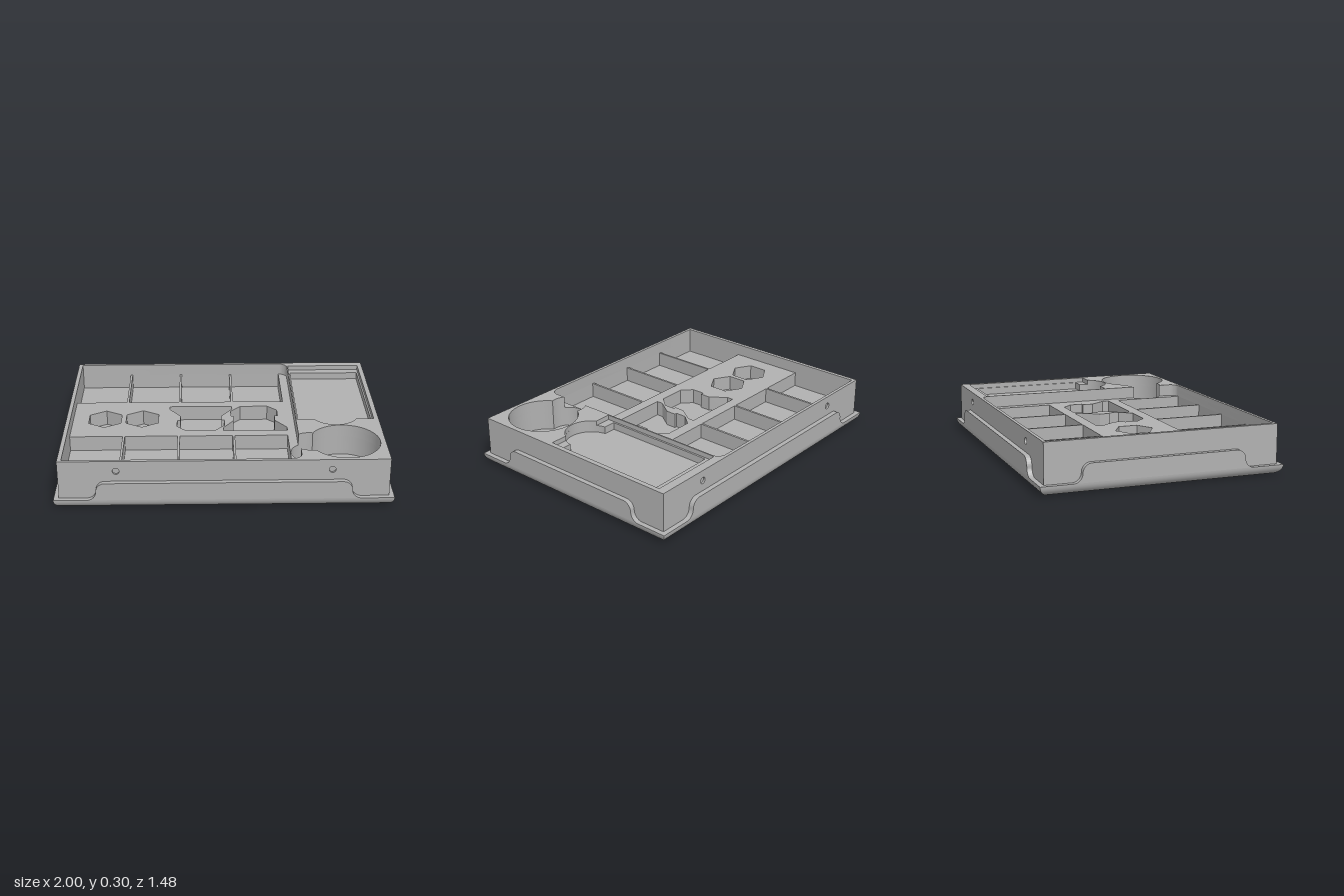
import * as THREE from 'three';
import { toCreasedNormals } from 'three/addons/utils/BufferGeometryUtils.js';

const rad = THREE.MathUtils.degToRad;

// Points along an arc in plan (x, z), angles in degrees
function arc(cx, cz, r, a0, a1, n = 32) {
  const pts = [];
  for (let i = 0; i <= n; i++) {
    const a = rad(a0 + ((a1 - a0) * i) / n);
    pts.push([cx + r * Math.cos(a), cz + r * Math.sin(a)]);
  }
  return pts;
}
const rect = (x0, z0, x1, z1) => [[x0, z0], [x1, z0], [x1, z1], [x0, z1]];
const toVectors = (pts) => pts.map(([x, y]) => new THREE.Vector2(x, y));

export function createModel() {
  const model = new THREE.Group();
  model.name = 'storageTray';
  const grey = new THREE.MeshStandardMaterial({ color: 0xb0b0b0 });
  grey.name = 'plasticGrey';

  function add(name, geometry) {
    const mesh = new THREE.Mesh(toCreasedNormals(geometry, 0.5), grey);
    mesh.name = name;
    model.add(mesh);
    return mesh;
  }

  // Horizontal slab with pockets cut through it
  function slab(name, y0, y1, holes) {
    const shape = new THREE.Shape(toVectors(rect(-0.97, -0.698, 0.97, 0.698)));
    for (const h of holes) shape.holes.push(new THREE.Path(toVectors(h)));
    const g = new THREE.ExtrudeGeometry(shape, { depth: y1 - y0, bevelEnabled: false });
    g.rotateX(Math.PI / 2).translate(0, y1, 0);
    add(name, g);
  }

  // Pocket outlines
  const bigArc = arc(0.725, 0.475, 0.213, -148.8, 148.8, 56);
  const roundWell = [...arc(0.518, 0.475, 0.113, 77.2, 282.8), ...bigArc];
  const openWell = [
    [-0.945, -0.69],
    ...arc(0.4, -0.635, 0.055, -90, 0, 10),
    ...arc(0.518, 0.475, 0.113, -123.9, -77.2, 8),
    ...bigArc,
    ...arc(0.518, 0.475, 0.113, 77.2, 123.9, 8),
    ...arc(0.4, 0.635, 0.055, 0, 90, 10),
    [-0.945, 0.69],
  ];
  const cardLedge = [
    [0.463, -0.655], [0.94, -0.655], [0.94, 0.175],
    ...arc(0.7, 0.105, 0.148, 28.2, 151.8), [0.463, 0.175],
  ];
  const cardPocket = [
    [0.475, -0.6], [0.93, -0.6], [0.93, 0.12],
    ...arc(0.7, 0.105, 0.148, 5.8, 174.2), [0.475, 0.12],
  ];

  // Eight square cells in two rows
  const cells = [];
  for (let i = 0; i < 4; i++) {
    const x = -0.945 + i * 0.34;
    cells.push(rect(x, -0.69, x + 0.326, -0.245), rect(x, 0.245, x + 0.326, 0.69));
  }
  // Hexagonal pockets
  const hexes = [-0.742, -0.507].map((x) => arc(x, 0, 0.118, 30, 330, 5));
  // Paired figure pockets, the second one turned upside down
  const figure = [
    [-0.335, -0.175], [0.065, -0.175], [0.065, -0.135], [-0.003, -0.035], [-0.003, 0.03],
    [0.013, 0.03], [0.013, 0.1], [-0.05, 0.173], [-0.225, 0.173], [-0.285, 0.113],
    [-0.285, 0.03], [-0.264, 0.03], [-0.264, -0.035], [-0.335, -0.135],
  ];
  const figures = [figure, figure.map(([x, z]) => [0.07 - x, -z])];

  // Body, floor to rim
  slab('bodyFloor', 0.05, 0.1, []);
  slab('wellLayer', 0.1, 0.13, [roundWell]);
  slab('cellLayer', 0.13, 0.225, [roundWell, ...cells, ...hexes, ...figures]);
  slab('cardLayer', 0.225, 0.27, [openWell, cardPocket]);
  slab('rim', 0.27, 0.3, [openWell, cardLedge]);

  // Front and back faces with shallow round latch holes
  for (const s of [1, -1]) {
    const face = new THREE.Shape(toVectors(rect(-0.97, 0.06, 0.97, 0.3)));
    for (const x of [-0.63, 0.63]) {
      face.holes.push(new THREE.Path(toVectors(arc(x, 0.235, 0.02, 0, 345, 23))));
    }
    const g = new THREE.ExtrudeGeometry(face, { depth: 0.012, bevelEnabled: false });
    g.translate(0, 0, 0.698);
    if (s < 0) g.rotateY(Math.PI);
    add(s > 0 ? 'frontFace' : 'backFace', g);
  }

  // Base lip: rectangular rings following a quarter-round lower edge
  const pos = [], index = [], steps = 10, r = 0.06;
  const ring = (x, y, z) => pos.push(-x, y, -z, -x, y, z, x, y, z, x, y, -z);
  for (let i = 0; i <= steps; i++) {
    const a = (i / steps) * Math.PI / 2;
    const inset = r * (1 - Math.sin(a));
    ring(1 - inset, r * (1 - Math.cos(a)), 0.74 - inset);
  }
  for (let i = 0; i < steps; i++) {
    for (let j = 0; j < 4; j++) {
      const a = i * 4 + j, b = i * 4 + ((j + 1) % 4);
      index.push(a, b, b + 4, a, b + 4, a + 4);
    }
  }
  const t = steps * 4;
  index.push(0, 2, 1, 0, 3, 2, t, t + 1, t + 2, t, t + 2, t + 3);
  const lip = new THREE.BufferGeometry();
  lip.setAttribute('position', new THREE.Float32BufferAttribute(pos, 3));
  lip.setIndex(index);
  add('baseLip', lip);

  // Raised skirts with curved ends on all four sides
  function skirt(name, half, distance, turn) {
    const k = 0.055;
    const s = new THREE.Shape();
    s.moveTo(-half - 2 * k, 0.06);
    s.lineTo(half + 2 * k, 0.06);
    s.absarc(half + 2 * k, 0.06 + k, k, -Math.PI / 2, -Math.PI, true);
    s.absarc(half, 0.17 - k, k, 0, Math.PI / 2, false);
    s.absarc(-half, 0.17 - k, k, Math.PI / 2, Math.PI, false);
    s.absarc(-half - 2 * k, 0.06 + k, k, 0, -Math.PI / 2, true);
    const g = new THREE.ExtrudeGeometry(s, { depth: 0.03, bevelEnabled: false, curveSegments: 10 });
    g.translate(0, 0, distance - 0.03).rotateY(turn);
    add(name, g);
  }
  skirt('frontSkirt', 0.695, 0.74, 0);
  skirt('backSkirt', 0.695, 0.74, Math.PI);
  skirt('leftSkirt', 0.44, 1, Math.PI / 2);
  skirt('rightSkirt', 0.44, 1, -Math.PI / 2);

  return model;
}
